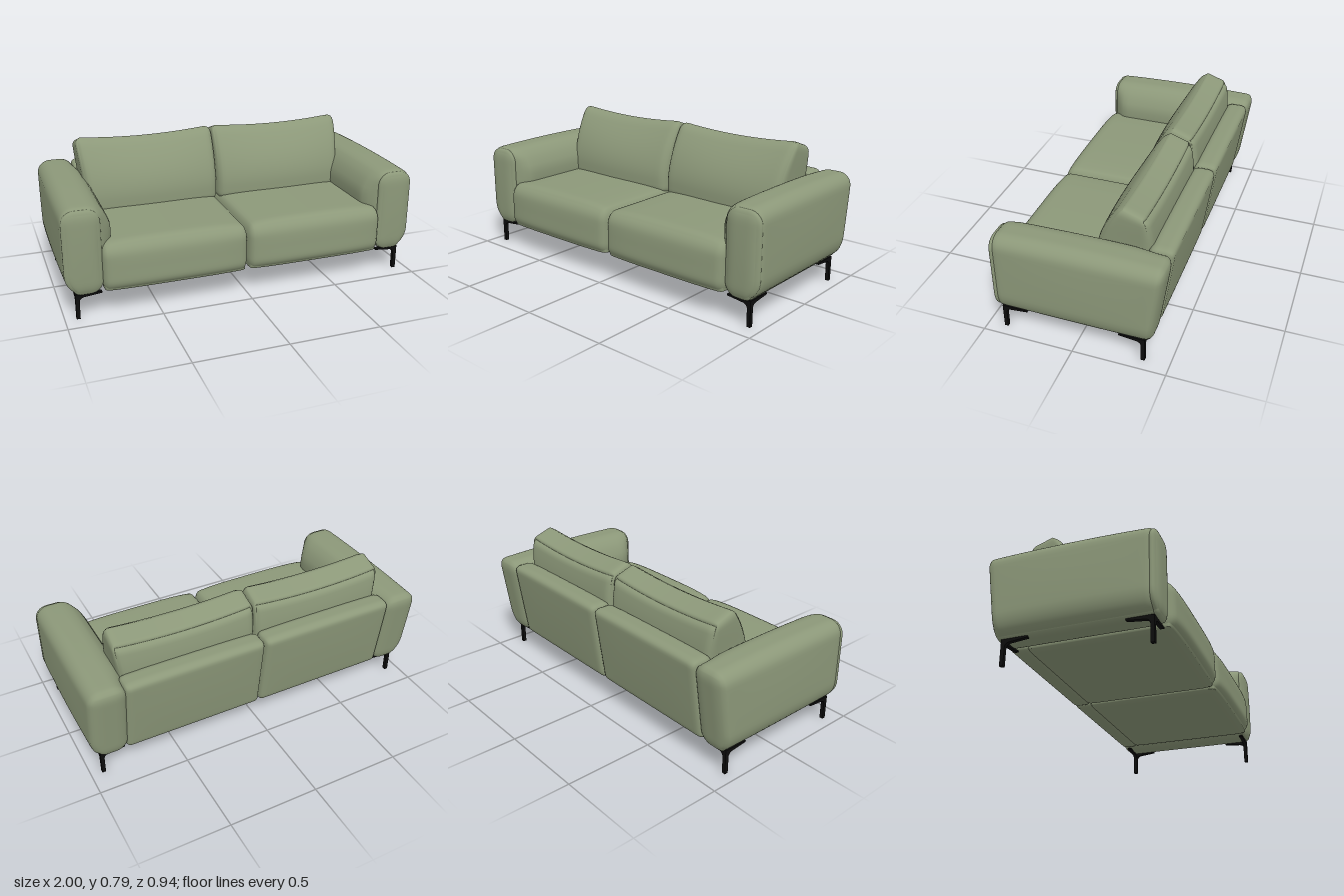
import * as THREE from 'three';
import { mergeVertices } from 'three/addons/utils/BufferGeometryUtils.js';

const SEG = 24;
const fabric = new THREE.MeshStandardMaterial({ color: 0x8c9879 });
fabric.name = 'sage fabric';
const metal = new THREE.MeshStandardMaterial({ color: 0x0c0c0c });
metal.name = 'black metal';

const clamp = THREE.MathUtils.clamp;
const smooth = THREE.MathUtils.smoothstep;

// Upholstered block: a box with elliptical edge radii, then shaped by warp(p, u), u in -1..1
function softBox(min, max, radii, warp) {
  const g = new THREE.BoxGeometry(2, 2, 2, SEG, SEG, SEG);
  g.deleteAttribute('uv');
  g.deleteAttribute('normal');
  const pos = g.attributes.position;
  for (let i = 0; i < pos.count; i++) {
    const p = [], d = [], u = [];
    for (let k = 0; k < 3; k++) {
      const t = pos.getComponent(i, k);
      // crowd the grid towards the edges
      u[k] = 0.25 * t + 0.75 * Math.sin(t * Math.PI / 2);
      const v = THREE.MathUtils.lerp(min[k], max[k], (u[k] + 1) / 2);
      p[k] = clamp(v, min[k] + radii[k], max[k] - radii[k]);
      d[k] = (v - p[k]) / radii[k];
    }
    const len = Math.hypot(...d) || 1;
    const v = new THREE.Vector3(...p.map((c, k) => c + d[k] / len * radii[k]));
    warp(v, u);
    pos.setXYZ(i, v.x, v.y, v.z);
  }
  const merged = mergeVertices(g, 1e-5);
  merged.computeVertexNormals();
  return merged;
}

// Mirror a geometry in x and restore its face order
function mirrorX(geometry) {
  const g = geometry.clone();
  const pos = g.attributes.position;
  for (let i = 0; i < pos.count; i++) pos.setX(i, -pos.getX(i));
  const idx = g.index.array;
  for (let i = 0; i < idx.length; i += 3) [idx[i], idx[i + 1]] = [idx[i + 1], idx[i]];
  g.computeVertexNormals();
  return g;
}

// Backward lean shared by the arms and the back panels
function leanBack(p) {
  const t = clamp((p.y - 0.135) / 0.45, 0, 1);
  if (p.z < 0) p.z *= 1 - 0.135 * (1 - t);
}

function armBody() {
  return softBox([0.785, 0.133, -0.472], [0.99, 0.606, 0.43], [0.075, 0.07, 0.04], (p, u) => {
    const h = (p.y - 0.135) / 0.48;
    // padded inner face, pinched at the front panel and at the back
    if (u[0] < 0) {
      const along = smooth(-p.z, -0.43, -0.33) * (1 - smooth(-p.z, 0.25, 0.42));
      const pad = smooth(h, 0.15, 0.6) * (1 - 0.85 * smooth(h, 0.68, 1));
      p.x -= 0.062 * along * pad * Math.min(1, -u[0] * 1.3);
    } else {
      p.x += u[0] * 0.01 * (1 - u[2] * u[2]) * (1 - u[1] * u[1]);
      p.x -= u[0] * 0.025 * (1 - smooth(h, 0, 0.25));
    }
    if (u[1] > 0) p.y += 0.01 * (1 - u[2] * u[2]) * u[1];
    leanBack(p);
  });
}

function armFrontPanel() {
  return softBox([0.79, 0.138, 0.385], [0.99, 0.598, 0.437], [0.07, 0.07, 0.024], (p, u) => {
    p.z += u[2] > 0 ? 0.006 * (1 - u[0] * u[0]) * (1 - u[1] * u[1]) : 0;
    if (u[0] > 0) p.x -= 0.03 * u[0] * (1 - smooth(p.y, 0.135, 0.25));
  });
}

function seatCushion() {
  return softBox([0.002, 0.138, -0.34], [0.797, 0.4, 0.452], [0.035, 0.07, 0.06], (p, u) => {
    const across = 1 - Math.pow(u[0], 4);
    if (u[1] > 0) p.y += 0.018 * across * u[1];
    if (u[2] > 0) {
      p.z += 0.018 * across * (1 - u[1] * u[1]) * u[2];
      p.z += 0.025 * u[2] * (1 - smooth(p.y, 0.14, 0.28)) * across * 0.5;
    }
    // nearly flat underside
    if (u[1] < -0.99) p.y = Math.min(p.y, 0.15);
  });
}

function backPanel() {
  return softBox([0.002, 0.138, -0.466], [0.797, 0.6, -0.335], [0.025, 0.035, 0.045], (p, u) => {
    const across = 1 - Math.pow(u[0], 4);
    if (u[1] > 0) p.y += 0.006 * across * u[1];
    if (u[2] < 0) p.z -= 0.006 * across * (1 - u[1] * u[1]);
    leanBack(p);
  });
}

function backPillow() {
  return softBox([0.003, 0.375, -0.352], [0.797, 0.782, -0.035], [0.04, 0.04, 0.06], (p, u) => {
    const f = (u[2] + 1) / 2;
    const h = clamp((p.y - 0.46) / 0.32, 0, 1);
    const top = smooth(p.y, 0.5, 0.78);
    const across = 1 - u[0] * u[0];
    // front slopes back towards the top, back leans slightly forward
    p.z -= 0.155 * Math.pow(h, 1.9) * f;
    p.z += 0.025 * Math.pow(h, 3) * (1 - f);
    // belly in the middle of the front
    p.z += 0.025 * (across - 0.6) * f * (1 - h * h);
    // top edge sags between raised corners and falls towards the back
    p.y += top * (0.01 - 0.022 * across - 0.04 * (1 - f) + 0.01 * f);
    // ends draw in lower down
    p.x -= u[0] > 0 ? 0.02 * (1 - top) * u[0] : 0;
  });
}

// Bracket profile: post with a tapering flange
function bracket() {
  const s = new THREE.Shape();
  s.moveTo(-0.01, 0);
  s.lineTo(0.01, 0);
  s.lineTo(0.011, 0.095);
  s.quadraticCurveTo(0.012, 0.117, 0.035, 0.121);
  s.lineTo(0.13, 0.131);
  s.lineTo(0.13, 0.14);
  s.lineTo(-0.01, 0.14);
  s.closePath();
  const g = new THREE.ExtrudeGeometry(s, { depth: 0.02, bevelEnabled: false, curveSegments: 6 });
  return g.translate(0, 0, -0.01);
}

function leg(name, x, z) {
  const group = new THREE.Group();
  group.name = name;
  const side = new THREE.Mesh(bracket(), metal);
  side.name = 'sideBracket';
  side.rotation.y = x > 0 ? Math.PI : 0;
  const depth = new THREE.Mesh(bracket(), metal);
  depth.name = 'depthBracket';
  depth.rotation.y = z > 0 ? Math.PI / 2 : -Math.PI / 2;
  group.add(side, depth);
  group.position.set(x, 0, z);
  return group;
}

export function createModel() {
  const model = new THREE.Group();
  model.name = 'sofa';

  // upholstery, built for the left half and mirrored
  const parts = {
    Arm: armBody(), ArmFront: armFrontPanel(), Seat: seatCushion(),
    BackPanel: backPanel(), BackPillow: backPillow(),
  };
  for (const [name, geometry] of Object.entries(parts)) {
    const left = new THREE.Mesh(geometry, fabric);
    left.name = 'left' + name;
    const right = new THREE.Mesh(mirrorX(geometry), fabric);
    right.name = 'right' + name;
    model.add(left, right);
  }

  // legs
  for (const [side, x] of [['Left', 0.93], ['Right', -0.93]]) {
    model.add(leg('front' + side + 'Leg', x, 0.4), leg('back' + side + 'Leg', x, -0.36));
  }
  return model;
}
